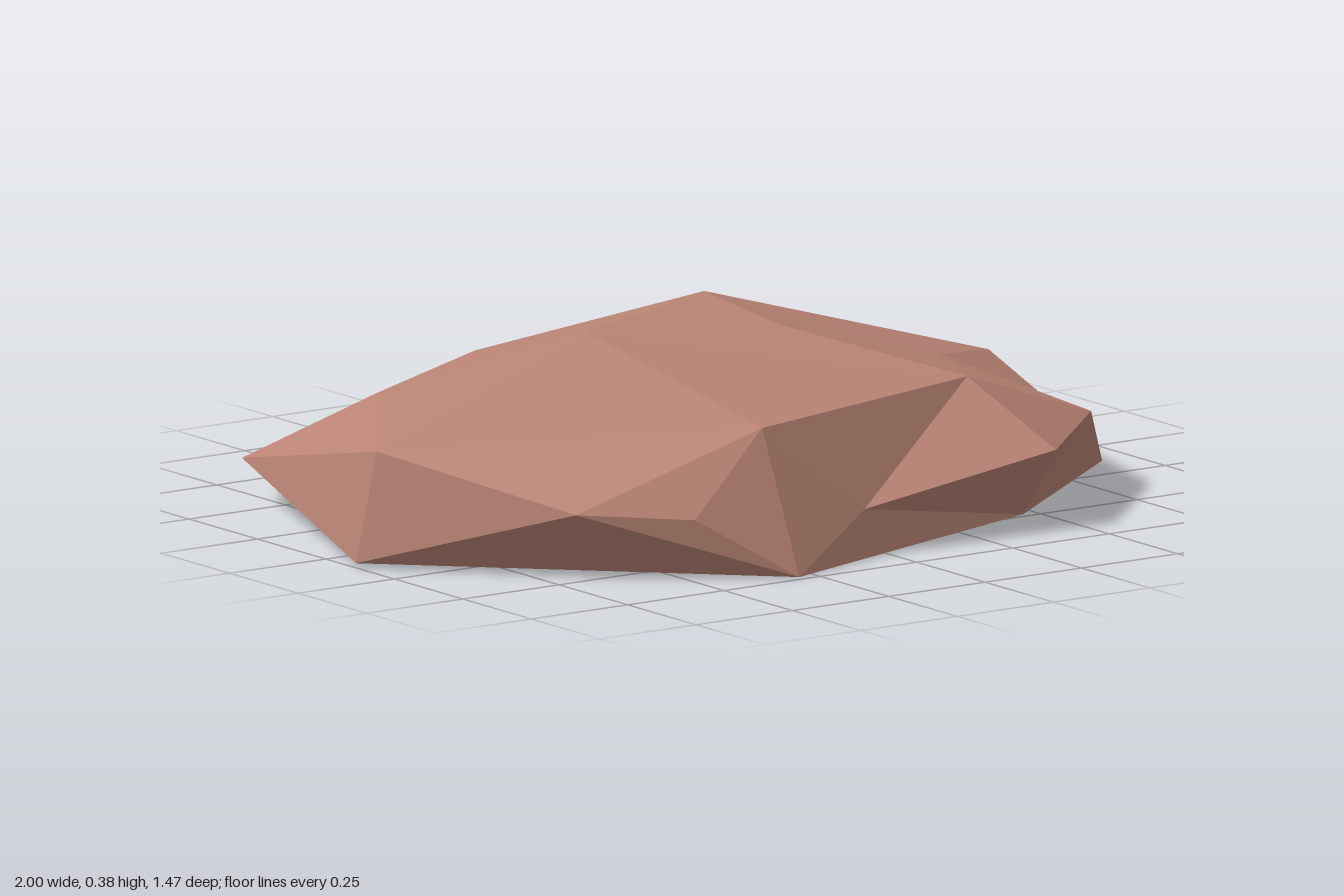
import * as THREE from 'three';

// Corner points of the boulder
const P = {
  // crown
  crownL: [-0.26, 0.385, -0.09], crownR: [0.13, 0.38, 0.06], crownB: [0.28, 0.35, -0.42],
  slope: [0.60, 0.245, -0.01], west: [-0.73, 0.29, -0.2], westRim: [-0.96, 0.25, 0.13],
  rimF: [-0.28, 0.295, 0.58], rimR: [0.38, 0.295, 0.40], rimB: [-0.18, 0.245, -0.61],
  // waist
  tip: [1.0, 0.14, -0.395], backR: [0.49, 0.17, -0.645], backL: [-0.82, 0.1, -0.56],
  sideF: [0.73, 0.17, 0.36], side: [0.86, 0.11, 0.05], ledge: [0.44, 0.17, 0.64],
  dentF: [-0.05, 0.1, 0.63], dentB: [0.06, 0.1, -0.555],
  frontL: [-0.72, 0.15, 0.52], front: [-0.49, 0.13, 0.63],
  // foot
  f0: [-1, 0.01, 0.11], f1: [-0.62, 0.005, -0.685], f2: [-0.32, 0, -0.74], f3: [0.32, 0, -0.615],
  f4: [0.77, 0, -0.26], f5: [0.865, 0.02, 0.21], f6: [0.44, 0.01, 0.52], f7: [-0.29, 0, 0.73],
};

// Flat-shaded mesh from triangle fans, each a hub followed by its ring
function facets(name, material, fans) {
  const pos = [];
  for (const fan of fans) {
    const [hub, ...ring] = fan.split(' ');
    for (let i = 0; i + 1 < ring.length; i++) pos.push(...P[hub], ...P[ring[i]], ...P[ring[i + 1]]);
  }
  const geo = new THREE.BufferGeometry();
  geo.setAttribute('position', new THREE.Float32BufferAttribute(pos, 3));
  geo.computeVertexNormals();
  const mesh = new THREE.Mesh(geo, material);
  mesh.name = name;
  return mesh;
}

export function createModel() {
  const stone = new THREE.MeshStandardMaterial({ color: 0xb98474 });
  stone.name = 'stone brown';
  const moss = new THREE.MeshStandardMaterial({ color: 0x557345 });
  moss.name = 'moss green';

  const rock = new THREE.Group();
  rock.name = 'rock';
  rock.add(
    facets('crown', stone, [
      'crownL westRim rimF rimR crownR crownB rimB west westRim',
      'rimR rimF dentF ledge sideF slope crownB crownR',
    ]),
    facets('frontFace', stone, [
      'rimF westRim frontL front f7 dentF',
      'frontL westRim f0 f7 front',
      'f6 f5 sideF ledge dentF f7',
    ]),
    facets('rightFace', stone, [
      'tip crownB slope side f4 f3 backR',
      'side slope sideF f5 f4',
    ]),
    facets('backFace', stone, [
      'backL west rimB f1 f0 westRim west',
      'dentB rimB backR f3 f2 rimB',
      'rimB f2 f1',
      'rimB crownB backR',
    ]),
    facets('underside', stone, ['f0 f1 f2 f3 f4 f5 f6 f7']),
    facets('mossPatch', moss, ['tip backR crownB']),
  );
  return rock;
}
